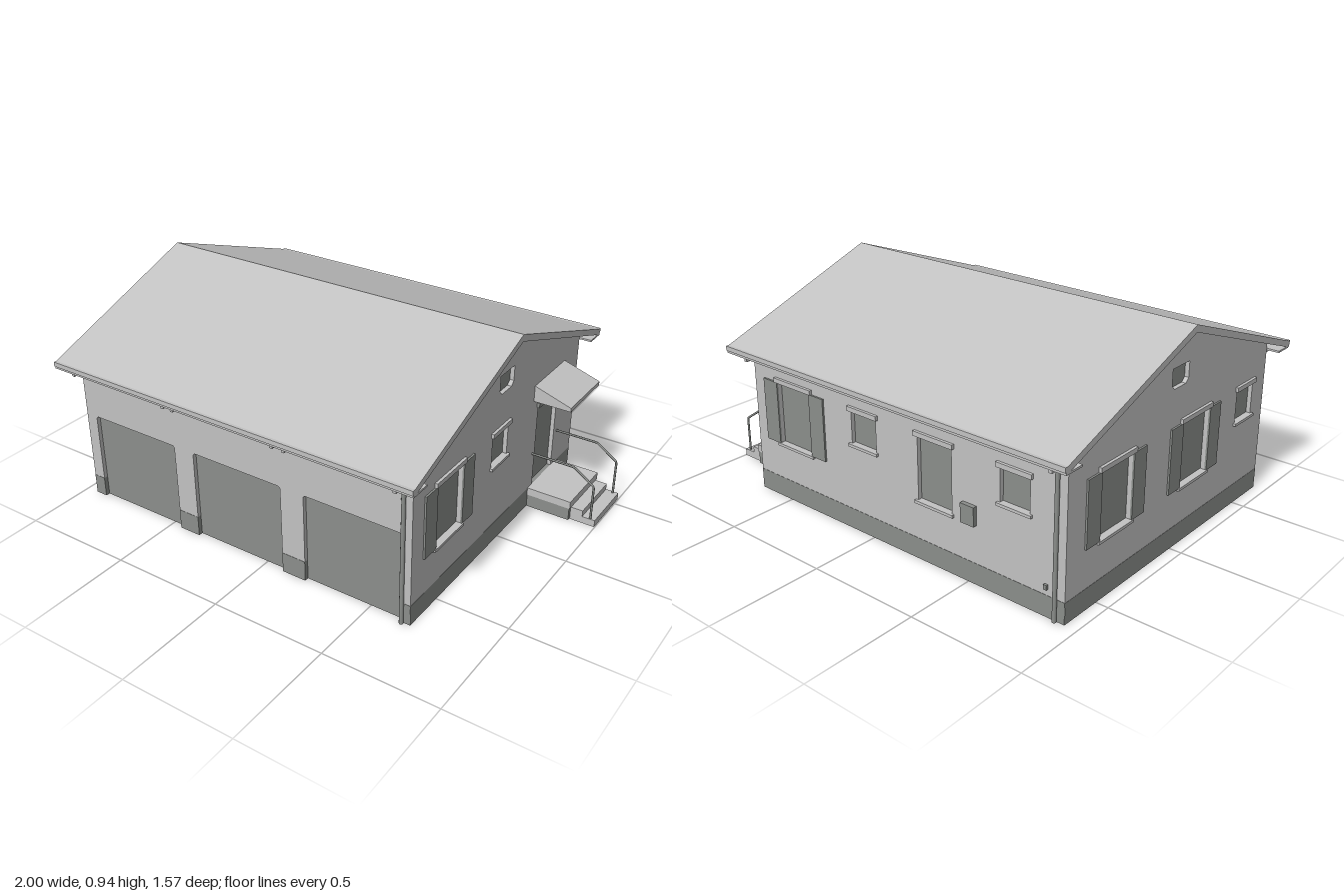
import * as THREE from 'three';

export function createModel() {
  const model = new THREE.Group();
  const mat = (name, color) => {
    const m = new THREE.MeshStandardMaterial({ color });
    m.name = name;
    return m;
  };
  const light = mat('light grey', 0xc2c2c2);
  const dark = mat('dark grey', 0x8b8e8b);

  const add = (parent, name, geometry, material) => {
    const mesh = new THREE.Mesh(geometry, material);
    mesh.name = name;
    parent.add(mesh);
    return mesh;
  };
  // Box given by its limits on each axis
  const box = (parent, name, material, x0, x1, y0, y1, z0, z1) => {
    const g = new THREE.BoxGeometry(x1 - x0, y1 - y0, z1 - z0);
    g.translate((x0 + x1) / 2, (y0 + y1) / 2, (z0 + z1) / 2);
    return add(parent, name, g, material);
  };
  const polygon = pts => new THREE.Shape(pts.map(p => new THREE.Vector2(p[0], p[1])));
  const extrude = (shape, depth) => new THREE.ExtrudeGeometry(shape, { depth, bevelEnabled: false });

  const BASE = 0.09, T = 0.02, EAVE = 0.665, PEAK = 0.915;

  // Wall in its own frame: u runs right, y up, +z outwards from its face
  function wall(name, x, z, turn, half, gable, openings, baseGaps = []) {
    const g = new THREE.Group();
    g.name = name;
    g.position.set(x, 0, z);
    g.rotation.y = turn;
    model.add(g);
    const doors = openings.filter(o => o.y0 <= BASE).sort((a, b) => a.u0 - b.u0);
    const outline = [[-half, BASE]];
    for (const d of doors) {
      const c = 0.008;
      outline.push([d.u0, BASE], [d.u0, d.y1 - c], [d.u0 + c, d.y1], [d.u1 - c, d.y1], [d.u1, d.y1 - c], [d.u1, BASE]);
    }
    outline.push([half, BASE], [half, EAVE]);
    if (gable) outline.push([0, PEAK]);
    outline.push([-half, EAVE]);
    const shape = polygon(outline);
    for (const o of openings) {
      if (o.y0 > BASE) {
        const c = o.chamfer || 0;
        shape.holes.push(new THREE.Path([
          [o.u0 + c, o.y0], [o.u0, o.y0 + c], [o.u0, o.y1], [o.u1, o.y1], [o.u1, o.y0 + c], [o.u1 - c, o.y0],
        ].filter((p, i) => c || (i !== 0 && i !== 5)).map(p => new THREE.Vector2(...p))));
      }
      box(g, o.name || 'windowPane', dark, o.u0, o.u1, o.y0, o.y1, -T - 0.004, -T + 0.002);
      if (o.trim) {
        box(g, 'lintel', light, o.u0 - 0.013, o.u1 + 0.013, o.y1, o.y1 + 0.02, -T, 0.012);
        if (o.y0 > BASE) box(g, 'sill', light, o.u0 - 0.011, o.u1 + 0.011, o.y0 - 0.012, o.y0, -T, 0.012);
      }
      if (o.shutters) {
        box(g, 'shutter', dark, o.u0 - 0.082, o.u0, 0.255, 0.53, 0, 0.008);
        box(g, 'shutter', dark, o.u1, o.u1 + 0.082, 0.255, 0.53, 0, 0.008);
      }
    }
    add(g, 'wallPanel', extrude(shape, T).translate(0, 0, -T), light);
    // Plinth pieces between the gaps
    let u = -half;
    for (const [a, b] of [...baseGaps, [half, half]]) {
      if (a > u) box(g, 'plinth', dark, u, a, 0, BASE, -T, 0.001);
      u = b;
    }
    return g;
  }
  const bigWindow = (u0, u1) => ({ u0, u1, y0: 0.257, y1: 0.53, trim: true, shutters: true });
  const smallWindow = (u0, u1) => ({ u0, u1, y0: 0.385, y1: 0.525, trim: true });
  const vent = (u0, u1) => ({ name: 'atticVent', u0, u1, y0: 0.69, y1: 0.775, chamfer: 0.018 });

  const CX = -0.13, HX = 0.815, ZW = 0.69;
  // Front wall with three garage doors
  const garage = [-0.89, -0.35, 0.2].map(x => [x - CX, x - CX + 0.44]);
  wall('frontWall', CX, ZW, 0, HX, false,
    garage.map(([u0, u1]) => ({ name: 'garageDoor', u0, u1, y0: 0, y1: 0.4 })), garage);

  // Right wall with the entrance
  const right = wall('rightWall', CX + HX, 0, Math.PI / 2, ZW, true, [
    bigWindow(-0.527, -0.332), smallWindow(-0.095, 0.035), vent(-0.058, 0.058),
    { name: 'entranceDoor', u0: 0.312, u1: 0.5, y0: BASE, y1: 0.475 },
  ]);
  box(right, 'doorLintel', dark, 0.3, 0.513, 0.475, 0.497, -T, 0.012);
  box(right, 'letterBox', light, 0.545, 0.587, 0.375, 0.445, 0, 0.022);

  // Back wall, u is measured towards -x
  const back = wall('backWall', CX, -ZW, Math.PI, HX, false, [
    bigWindow(-0.67, -0.475), smallWindow(-0.235, -0.1),
    { u0: 0.12, u1: 0.29, y0: 0.257, y1: 0.525, trim: true }, smallWindow(0.52, 0.655),
  ]);
  box(back, 'meterBox', dark, 0.345, 0.41, 0.25, 0.33, 0, 0.018);
  box(back, 'tap', dark, 0.725, 0.74, 0.115, 0.135, 0, 0.01);

  // Left wall
  wall('leftWall', CX - HX, 0, -Math.PI / 2, ZW, true, [
    bigWindow(-0.5, -0.3), bigWindow(0.035, 0.235), smallWindow(0.46, 0.59), vent(-0.058, 0.058),
  ]);

  // Gable roof, open underneath
  const roof = polygon([[0.78, 0.665], [0, 0.945], [-0.78, 0.665], [-0.78, 0.637], [0, PEAK], [0.78, 0.637]].reverse());
  add(model, 'roof', extrude(roof, 1.74).rotateY(Math.PI / 2).translate(-1, 0, 0), light);

  for (const s of [1, -1]) {
    const slab = (name, m, x0, x1, y0, y1, a, b) =>
      box(model, name, m, x0, x1, y0, y1, Math.min(a * s, b * s), Math.max(a * s, b * s));
    slab('gutter', light, -1, 0.74, 0.648, 0.668, 0.762, 0.785);
    slab('soffit', light, -1, 0.74, 0.637, 0.645, 0.69, 0.775);
    // Eave brackets
    const spots = s > 0 ? [-0.92, -0.43, -0.38, 0.11, 0.165, 0.65] : [-0.92, 0.65];
    for (const x of spots) slab('eaveBracket', light, x - 0.007, x + 0.007, 0.613, 0.637, 0.69, 0.76);
  }

  // Downpipes at the corners
  for (const [x, z] of [[0.65, 0.697], [-0.905, -0.697]]) {
    add(model, 'downpipe', new THREE.CylinderGeometry(0.009, 0.009, 0.63, 10).translate(x, 0.315, z), dark);
  }

  // Entrance canopy
  const canopy = polygon([[0.685, 0.52], [0.85, 0.52], [0.85, 0.538], [0.685, 0.592]]);
  add(model, 'canopy', extrude(canopy, 0.285).translate(0, 0, -0.55), light);

  // Landing and steps
  box(model, 'landingBase', dark, 0.685, 0.883, 0, 0.058, -0.553, -0.272);
  box(model, 'landing', light, 0.685, 0.887, 0.058, 0.092, -0.555, -0.27);
  box(model, 'upperStep', light, 0.885, 0.94, 0, 0.06, -0.54, -0.285);
  box(model, 'lowerStep', light, 0.885, 0.997, 0, 0.032, -0.54, -0.285);

  // Handrails
  for (const z of [-0.29, -0.53]) {
    const path = new THREE.CurvePath();
    const pts = [[0.685, 0.255], [0.88, 0.255], [0.975, 0.19], [0.975, 0.03]].map(p => new THREE.Vector3(p[0], p[1], z));
    for (let i = 0; i < 3; i++) path.add(new THREE.LineCurve3(pts[i], pts[i + 1]));
    add(model, 'handrail', new THREE.TubeGeometry(path, 40, 0.005, 6), dark);
  }
  return model;
}
